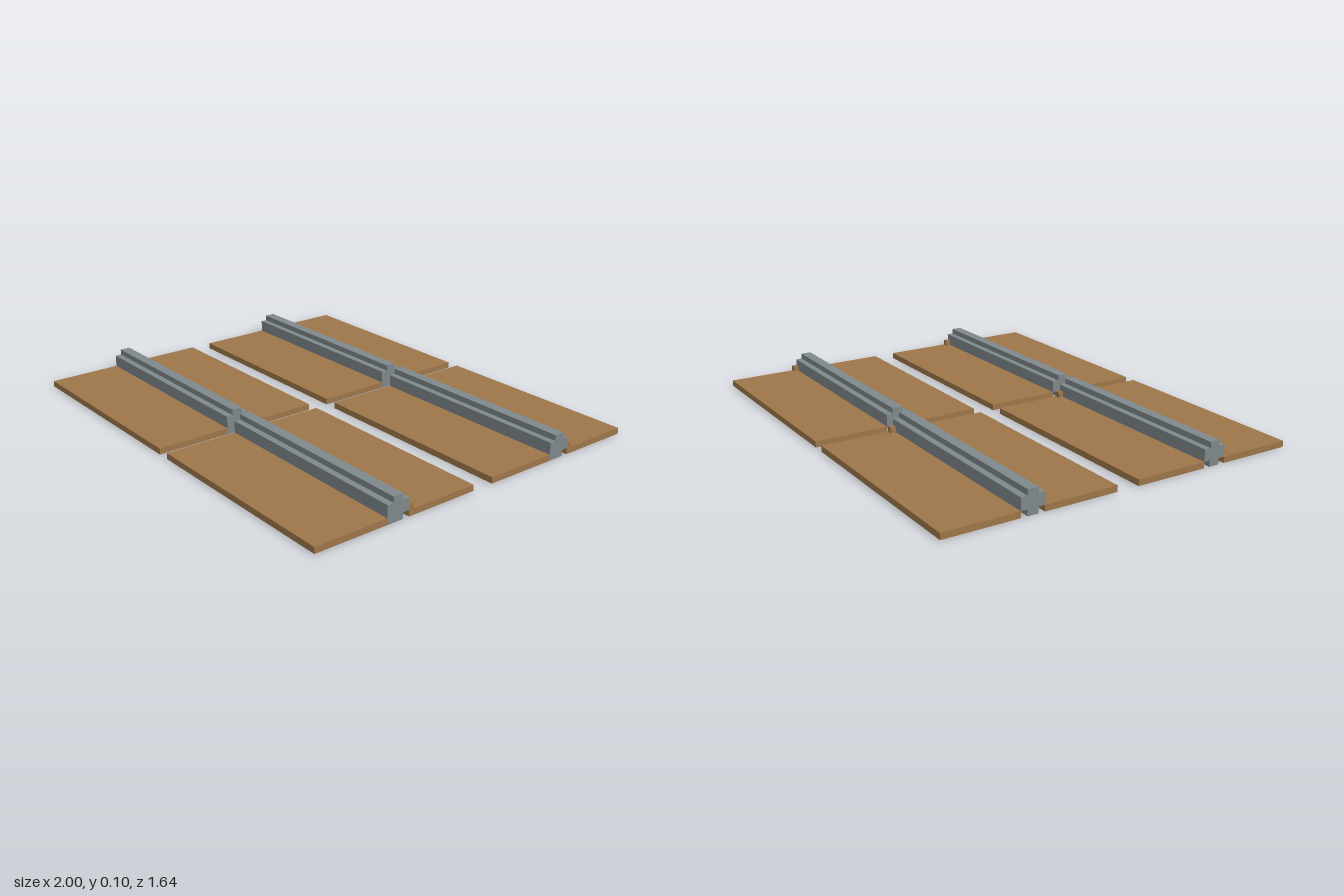
import * as THREE from 'three';

export function createModel() {
  const wood = new THREE.MeshStandardMaterial({ color: 0x9e764a });
  wood.name = 'brown board';
  const metal = new THREE.MeshStandardMaterial({ color: 0x7f888b });
  metal.name = 'grey rail';

  const length = 0.972;
  const half = length / 2;

  // Box given by its minimum and maximum corners
  function block(name, material, min, max) {
    const size = max.map((v, i) => v - min[i]);
    const mesh = new THREE.Mesh(new THREE.BoxGeometry(...size), material);
    mesh.position.set(...min.map((v, i) => v + size[i] / 2));
    mesh.name = name;
    return mesh;
  }

  // Stepped cross-shaped rail, extruded along x
  function rail() {
    const w = 0.0525, n = 0.0235;
    const right = [[n, 0], [n, 0.027], [w, 0.027], [w, 0.08], [n, 0.08], [n, 0.105]];
    const left = right.map(([z, y]) => [-z, y]).reverse();
    const shape = new THREE.Shape([...right, ...left].map(p => new THREE.Vector2(...p)));
    const geometry = new THREE.ExtrudeGeometry(shape, { depth: length, bevelEnabled: false });
    geometry.rotateY(Math.PI / 2).translate(-half, 0, 0);
    const mesh = new THREE.Mesh(geometry, metal);
    mesh.name = 'rail';
    return mesh;
  }

  // Two boards with a rail over the slot between them
  function panel() {
    const group = new THREE.Group();
    group.add(
      block('frontBoard', wood, [-half, 0, 0.0525], [half, 0.027, 0.385]),
      block('backBoard', wood, [-half, 0, -0.385], [half, 0.027, -0.0525]),
      rail(),
      block('boardTab', wood, [half - 0.025, 0.027, -0.077], [half, 0.052, -0.0525]),
      block('railTab', metal, [half - 0.025, 0, 0.0235], [half, 0.027, 0.0525])
    );
    return group;
  }

  // Two by two grid of panels
  const model = new THREE.Group();
  model.name = 'railedPanels';
  for (const [row, z] of [['front', 0.436], ['back', -0.436]]) {
    for (const [side, x] of [['Left', 1 - half], ['Right', half - 1]]) {
      const unit = panel();
      unit.name = `${row}${side}Panel`;
      unit.position.set(x, 0, z);
      model.add(unit);
    }
  }
  return model;
}
